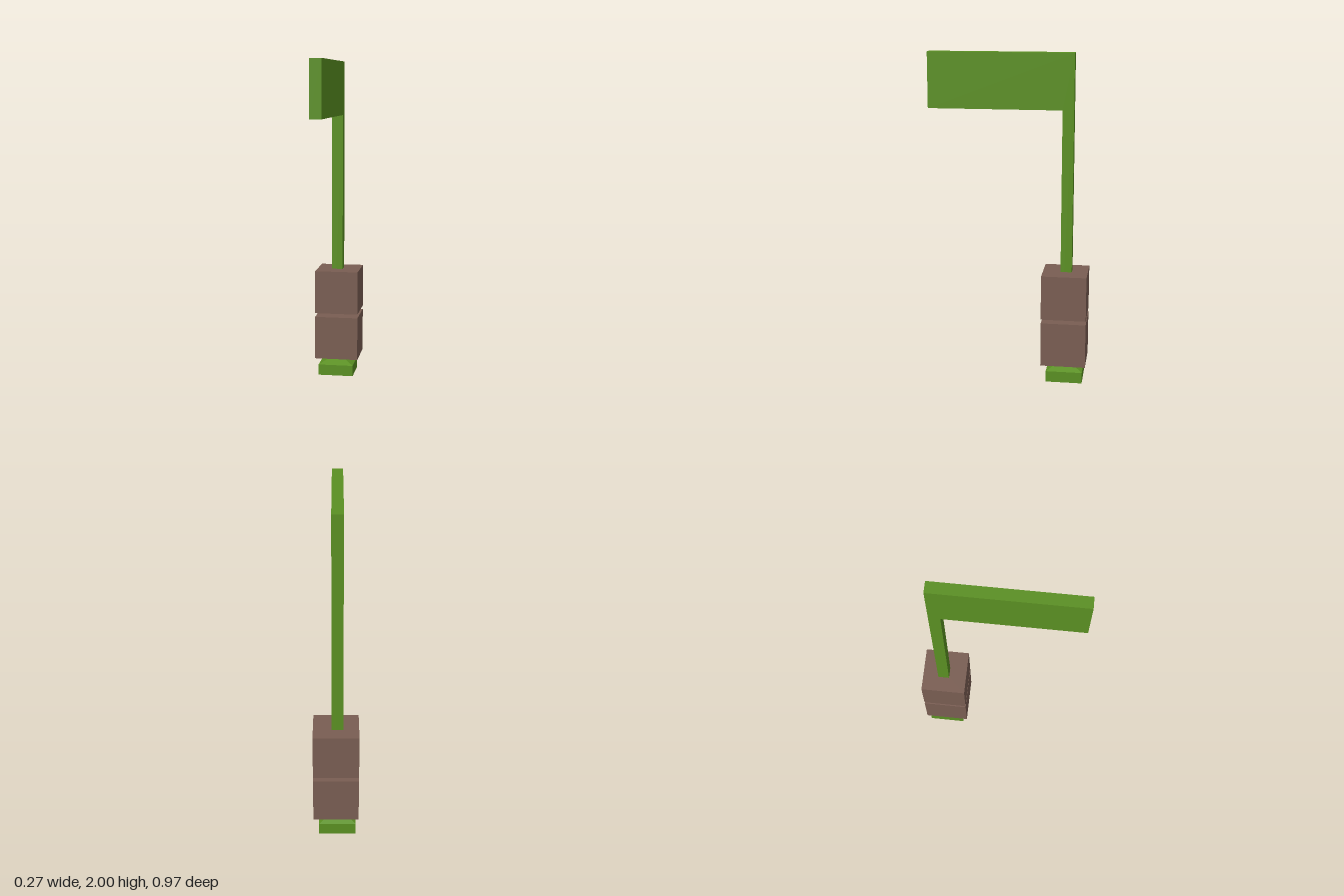
import * as THREE from 'three';

export function createModel() {
  const model = new THREE.Group();
  const green = new THREE.MeshStandardMaterial({ color: 0x5a8f22 });
  green.name = 'leaf green';
  const brown = new THREE.MeshStandardMaterial({ color: 0x795d52 });
  brown.name = 'earth brown';

  const add = (name, geometry, material, x, y, z) => {
    const mesh = new THREE.Mesh(geometry, material);
    mesh.name = name;
    mesh.position.set(x, y, z);
    model.add(mesh);
  };
  const box = (w, h, d) => new THREE.BoxGeometry(w, h, d);

  const poleX = -0.0085, poleZ = -0.353, poleWidth = 0.068;
  const baseWidth = 0.222, baseHeight = 0.068, taperHeight = 0.038;

  // Square foot with a sloped shoulder running up to the pole
  add('foot', box(baseWidth, baseHeight, baseWidth), green, poleX, baseHeight / 2, poleZ);
  const shoulder = new THREE.CylinderGeometry(
    poleWidth * Math.SQRT1_2, baseWidth * Math.SQRT1_2, taperHeight, 4, 1, true
  ).rotateY(Math.PI / 4).toNonIndexed();
  shoulder.computeVertexNormals();
  add('footShoulder', shoulder, green, poleX, baseHeight + taperHeight / 2, poleZ);

  // L-shaped pole and blade as one extruded outline (drawn in z, y)
  const back = poleZ - poleWidth / 2, front = poleZ + poleWidth / 2;
  const outline = new THREE.Shape([
    [back, baseHeight], [front, baseHeight], [front, 1.667],
    [0.484, 1.667], [0.484, 2], [back, 2],
  ].map(([z, y]) => new THREE.Vector2(-z, y)));
  const blade = new THREE.ExtrudeGeometry(outline, { depth: poleWidth, bevelEnabled: false });
  blade.translate(0, 0, -poleWidth / 2).rotateY(Math.PI / 2);
  add('poleAndBlade', blade, green, poleX, 0, 0);

  // Two stacked blocks around the pole
  [0.253, 0.549].forEach((y, i) =>
    add(`block${i + 1}`, box(0.272, 0.272, 0.272), brown, 0, y, -0.348));

  return model;
}
